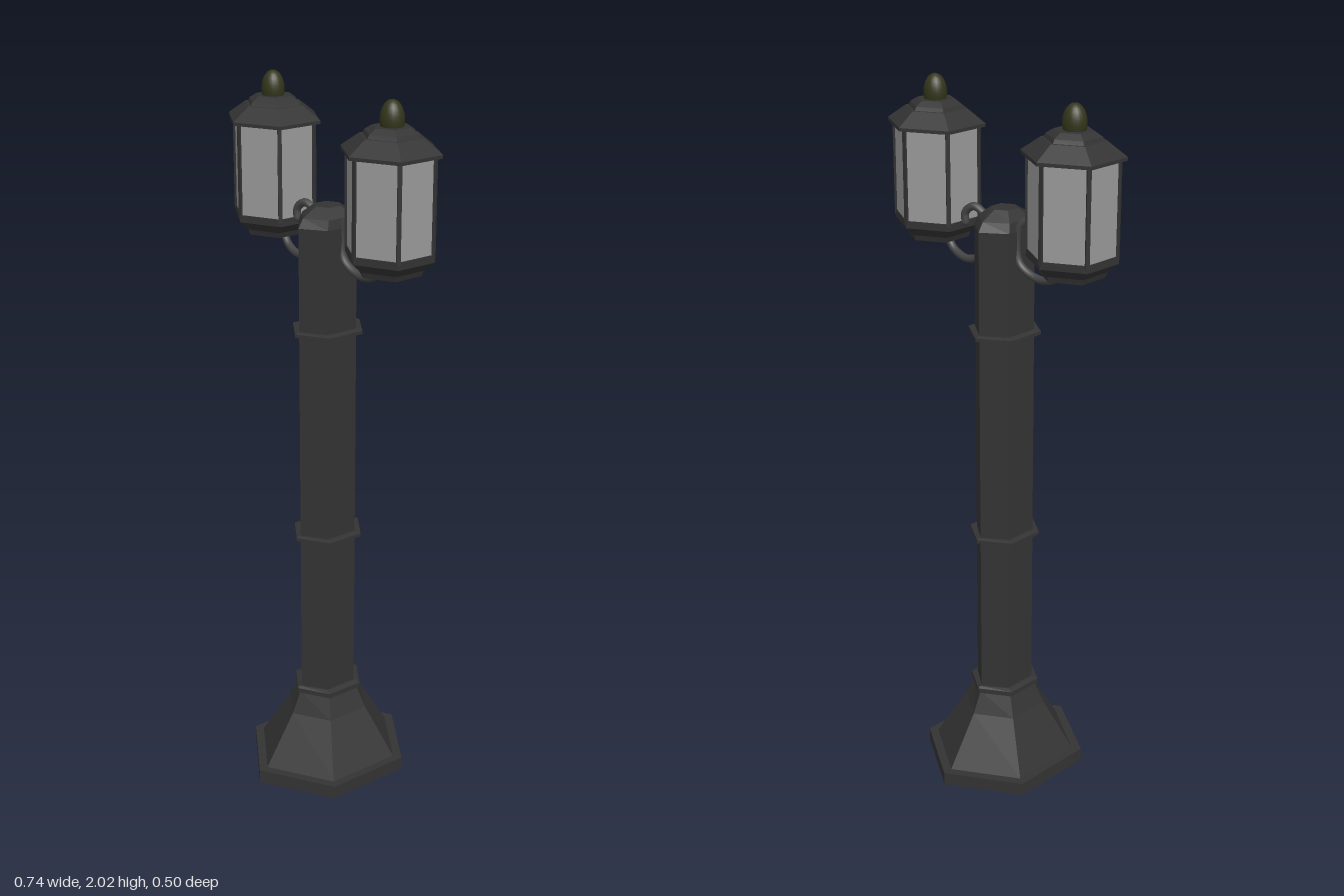
import * as THREE from 'three';

const metal = new THREE.MeshStandardMaterial({ color: 0x333333, flatShading: true });
const smoothMetal = new THREE.MeshStandardMaterial({ color: 0x444444 });
const glass = new THREE.MeshStandardMaterial({ color: 0x999999, flatShading: true });
const olive = new THREE.MeshStandardMaterial({ color: 0x33351a });

function add(parent, name, geometry, material) {
  const mesh = new THREE.Mesh(geometry, material);
  mesh.name = name;
  parent.add(mesh);
  return mesh;
}

// Closed six-sided solid through rings of [half width x, half depth z, height y], bottom to top
function hexLoft(rings) {
  const first = rings[0], last = rings[rings.length - 1];
  const all = [[0, 0, first[2]], ...rings, [0, 0, last[2]]];
  const geo = new THREE.LatheGeometry(all.map(r => new THREE.Vector2(1, r[2])), 6);
  const pos = geo.attributes.position;
  for (let i = 0; i < pos.count; i++) {
    const [hx, hz] = all[i % all.length];
    pos.setX(i, pos.getX(i) * hx / Math.sin(Math.PI / 3));
    pos.setZ(i, pos.getZ(i) * hz);
  }
  return geo;
}

function makeLantern() {
  const lantern = new THREE.Group();
  lantern.name = 'lantern';
  add(lantern, 'lanternBase', hexLoft([
    [0.077, 0.085, 1.58], [0.082, 0.09, 1.595], [0.108, 0.117, 1.62], [0.108, 0.117, 1.64],
  ]), metal);
  add(lantern, 'glassPanes', hexLoft([[0.104, 0.115, 1.635], [0.104, 0.115, 1.89]]), glass);
  // Corner bars
  for (let i = 0; i < 6; i++) {
    const a = i * Math.PI / 3;
    const bar = add(lantern, 'cornerBar', new THREE.BoxGeometry(0.011, 0.26, 0.011), metal);
    bar.position.set(Math.sin(a) * 0.103 / Math.sin(Math.PI / 3), 1.76, Math.cos(a) * 0.112);
    bar.rotation.y = a;
  }
  // Stepped roof
  add(lantern, 'roof', hexLoft([
    [0.12, 0.132, 1.885], [0.12, 0.132, 1.894], [0.075, 0.083, 1.93],
    [0.068, 0.075, 1.93], [0.064, 0.07, 1.94], [0.045, 0.05, 1.953],
  ]), metal);
  const finial = add(lantern, 'finial', new THREE.SphereGeometry(1, 20, 14), olive);
  finial.scale.set(0.032, 0.05, 0.031);
  finial.position.set(0, 1.969, -0.002);
  lantern.position.x = 0.25;
  return lantern;
}

function makeArm() {
  const path = [
    [0.122, 1.645, -0.018], [0.122, 1.672, -0.017], [0.097, 1.691, -0.01],
    [0.068, 1.672, 0], [0.056, 1.62, 0.004], [0.069, 1.567, 0.004],
    [0.122, 1.538, -0.004], [0.185, 1.55, 0], [0.222, 1.59, 0.004],
  ].map(p => new THREE.Vector3(...p));
  const arm = new THREE.Group();
  arm.name = 'arm';
  add(arm, 'scroll', new THREE.TubeGeometry(new THREE.CatmullRomCurve3(path), 48, 0.011, 10), smoothMetal);
  const tip = add(arm, 'scrollTip', new THREE.SphereGeometry(0.011, 10, 8), smoothMetal);
  tip.position.copy(path[0]);
  return arm;
}

export function createModel() {
  const model = new THREE.Group();
  model.name = 'streetLamp';

  // Foot slab and flared plinth
  add(model, 'footSlab', hexLoft([[0.2, 0.25, 0], [0.2, 0.25, 0.04]]), metal);
  add(model, 'plinth', hexLoft([
    [0.177, 0.222, 0.04], [0.1, 0.128, 0.19], [0.074, 0.1, 0.255],
  ]), metal);

  // Column with chamfered cap
  add(model, 'column', hexLoft([
    [0.065, 0.095, 0.25], [0.065, 0.095, 1.655], [0.058, 0.08, 1.68], [0.032, 0.037, 1.705],
  ]), metal);

  // Collars
  for (const [y, h] of [[0.25, 0.024], [0.748, 0.016], [1.354, 0.016]]) {
    add(model, 'collar', hexLoft([
      [0.07, 0.1, y], [0.084, 0.109, y + h * 0.2], [0.084, 0.109, y + h * 0.8], [0.07, 0.1, y + h],
    ]), metal);
  }

  // Two lanterns on scrolled arms, one turned half round from the other
  for (const turn of [0, Math.PI]) {
    const side = new THREE.Group();
    side.name = turn ? 'rightLamp' : 'leftLamp';
    side.add(makeLantern(), makeArm());
    side.rotation.y = turn;
    side.position.z = -0.008;
    model.add(side);
  }
  return model;
}
